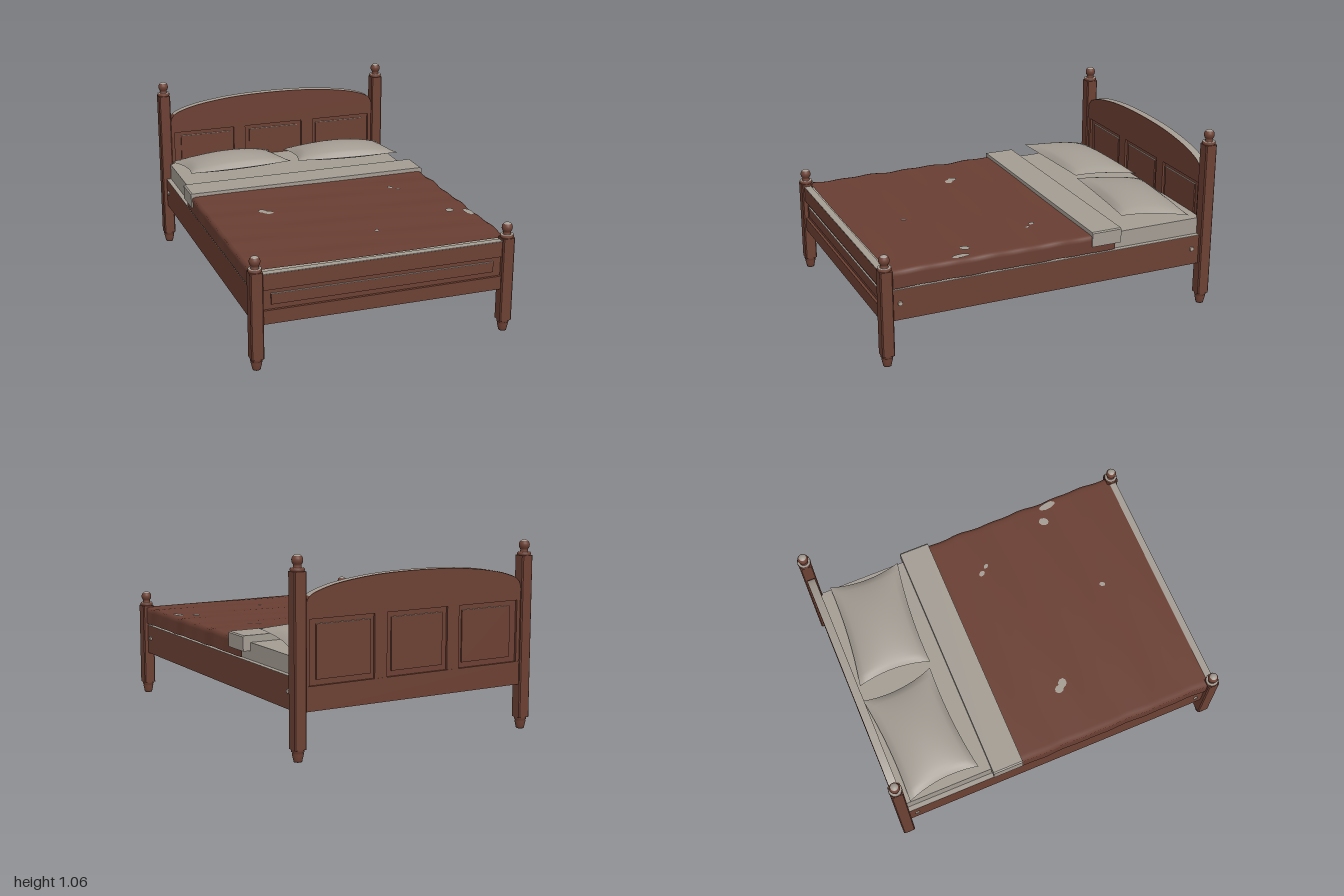
import * as THREE from 'three';

const mat = (name, color, side = THREE.FrontSide) => {
  const m = new THREE.MeshStandardMaterial({ color, side });
  m.name = name;
  return m;
};

export function createModel() {
  const bed = new THREE.Group();
  bed.name = 'bed';
  const wood = mat('redBrownWood', 0x6c4033);
  const blanketMat = mat('redBrownBlanket', 0x693e32, THREE.DoubleSide);
  const linen = mat('greyLinen', 0xa39c93, THREE.DoubleSide);
  const pale = mat('paleTopEdge', 0xa39c93, THREE.DoubleSide);
  const boltMat = mat('paleBolt', 0xb5a79a);
  const slatMat = mat('tanSlat', 0xa89a74);

  const add = (name, geo, material, parent = bed) => {
    const m = new THREE.Mesh(geo, material);
    m.name = name;
    parent.add(m);
    return m;
  };
  // Box given by its limits
  const box = (name, x0, x1, y0, y1, z0, z1, material = wood) => {
    const m = add(name, new THREE.BoxGeometry(x1 - x0, y1 - y0, z1 - z0), material);
    m.position.set((x0 + x1) / 2, (y0 + y1) / 2, (z0 + z1) / 2);
    return m;
  };
  // Raised panel with a pale upper edge
  const panel = (name, x0, x1, y0, y1, z0, z1) => {
    box(name, x0, x1, y0, y1, z0, z1);
    box(name + 'TopEdge', x0, x1, y1, y1 + 0.002, z0, z1, pale);
  };
  // Sheet mapped from u (towards +x) and v (towards +z), facing up
  const sheet = (nu, nv, fn) => {
    const g = new THREE.PlaneGeometry(1, 1, nu, nv);
    const p = g.attributes.position;
    for (let i = 0; i < p.count; i++) p.setXYZ(i, ...fn(p.getX(i) + 0.5, 0.5 - p.getY(i)));
    g.computeVertexNormals();
    return g;
  };
  const vectors = (pts) => pts.map(([x, y]) => new THREE.Vector2(x, y));
  const lathe = (pts) => new THREE.LatheGeometry(vectors(pts), 20);

  // Posts: chamfered shaft, tapered foot, ring and ball finial
  const h = 0.035, c = 0.029;
  const section = new THREE.Shape(vectors([[h, -c], [h, c], [c, h], [-c, h], [-h, c], [-h, -c], [-c, -h], [c, -h]]));
  const makePost = (name, x, z, top) => {
    const post = new THREE.Group();
    post.name = name;
    post.position.set(x, 0, z);
    bed.add(post);
    const shaft = new THREE.ExtrudeGeometry(section, { depth: top - 0.065, bevelEnabled: false });
    shaft.rotateX(-Math.PI / 2).translate(0, 0.065, 0);
    add('shaft', shaft, wood, post);
    add('foot', lathe([[0, 0], [0.022, 0], [0.024, 0.01], [0.031, 0.042], [0.027, 0.047], [0.034, 0.053], [0.034, 0.065]]), wood, post);
    const finial = [[0.034, 0], [0.038, 0.004], [0.038, 0.012], [0.034, 0.016], [0.023, 0.018], [0.02, 0.03]];
    for (let i = 3; i <= 9; i++) {
      const a = -Math.PI / 2 + i * 0.28;
      finial.push([0.03 * Math.cos(a), 0.056 + 0.03 * Math.sin(a)]);
    }
    add('finial', lathe(finial), wood, post).position.y = top;
    const cap = new THREE.SphereGeometry(0.0303, 20, 4, 0, Math.PI * 2, 0, 0.75);
    add('finialCap', cap, pale, post).position.y = top + 0.056;
    const ring = new THREE.RingGeometry(0.022, 0.036, 20).rotateX(-Math.PI / 2);
    add('ringTop', ring, pale, post).position.y = top + 0.0185;
  };
  for (const s of [-1, 1]) {
    const side = s > 0 ? 'left' : 'right';
    makePost(side + 'HeadPost', s * 0.711, -0.964, 0.97);
    makePost(side + 'FootPost', s * 0.711, 0.964, 0.549);

    // Side rails with bolt covers and slat ledges
    const rail = (name, a, b, y0, y1, m) =>
      box(name, Math.min(s * a, s * b), Math.max(s * a, s * b), y0, y1, -0.935, 0.935, m);
    rail(side + 'SideRail', 0.685, 0.72, 0.255, 0.428, wood);
    rail(side + 'RailTop', 0.685, 0.72, 0.428, 0.43, pale);
    rail(side + 'SlatLedge', 0.655, 0.685, 0.345, 0.375, slatMat);
    for (const z of [-0.885, 0.885]) {
      const bolt = add(side + 'BoltCover', new THREE.CylinderGeometry(0.012, 0.014, 0.008, 16), boltMat);
      bolt.rotation.z = -s * Math.PI / 2;
      bolt.position.set(s * 0.723, 0.35, z);
    }
  }

  // Headboard crest with arched top
  const crown = new THREE.SplineCurve(vectors(
    [[-0.675, 0.8], [-0.66, 0.836], [-0.61, 0.866], [-0.48, 0.9], [-0.26, 0.927], [0, 0.935],
      [0.26, 0.927], [0.48, 0.9], [0.61, 0.866], [0.66, 0.836], [0.675, 0.8]]));
  const crest = new THREE.Shape([new THREE.Vector2(0.68, 0.727), new THREE.Vector2(-0.68, 0.727), ...crown.getPoints(48)]);
  add('headboardCrest', new THREE.ExtrudeGeometry(crest, { depth: 0.046, bevelEnabled: false }).translate(0, 0, -0.987), wood);
  add('crestTopEdge', sheet(40, 1, (u, v) => {
    const p = crown.getPoint(0.12 + 0.76 * u);
    return [p.x, p.y + 0.002, -0.985 + 0.043 * v];
  }), pale);

  // Headboard frame and raised panels
  box('headboardBack', -0.68, 0.68, 0.255, 0.73, -0.971, -0.959);
  box('headboardBottomRail', -0.68, 0.68, 0.255, 0.385, -0.985, -0.944);
  for (const x of [-0.228, 0.228]) box('headboardStile', x - 0.038, x + 0.038, 0.385, 0.73, -0.984, -0.945);
  for (const x of [-0.667, 0.667]) box('headboardEndStile', x - 0.013, x + 0.013, 0.385, 0.73, -0.984, -0.945);
  for (const x of [-0.45, 0, 0.45]) panel('headboardPanel', x - 0.161, x + 0.161, 0.415, 0.698, -0.979, -0.951);

  // Footboard
  box('footboardBack', -0.68, 0.68, 0.255, 0.53, 0.958, 0.97);
  box('footboardBottomRail', -0.68, 0.68, 0.255, 0.332, 0.943, 0.985);
  box('footboardTopRail', -0.68, 0.68, 0.445, 0.532, 0.943, 0.985);
  box('footboardTopEdge', -0.676, 0.676, 0.532, 0.535, 0.944, 0.984, pale);
  panel('footboardPanel', -0.63, 0.63, 0.36, 0.418, 0.949, 0.979);

  // Slats
  for (let i = 0; i < 11; i++) {
    const z = -0.84 + i * 0.168;
    box('slat', -0.685, 0.685, 0.375, 0.415, z - 0.035, z + 0.035, slatMat);
  }

  // Mattress
  box('mattress', -0.692, 0.692, 0.416, 0.525, -0.95, 0.942, linen);

  // Blanket draped over both sides, gently rippled
  const hw = 0.726, drop = 0.1;
  add('blanket', sheet(70, 60, (u, v) => {
    const s = (u * 2 - 1) * (hw + drop);
    const z = -0.38 + 1.323 * v;
    const over = Math.max(0, Math.abs(s) - hw);
    const ripple = Math.sin(z * 17 + s * 3) + Math.sin(z * 31 - s * 5);
    const x = Math.sign(s) * (Math.min(Math.abs(s), hw) + 0.002 * ripple);
    return [x, 0.541 + 0.002 * ripple - over, z];
  }), blanketMat);

  // Pale irregular spots on the blanket: x, z, half width, half length, turn
  for (const [x, z, w, l, turn] of [[-0.412, 0.132, 0.024, 0.028, 0.4], [-0.385, 0.162, 0.025, 0.03, 1], [0.43, -0.005, 0.015, 0.02, 0.5],
    [0.465, 0.035, 0.011, 0.017, 0.6], [0.6, 0.47, 0.024, 0.03, -0.5], [0.69, 0.53, 0.022, 0.054, 0.1], [0.09, 0.63, 0.013, 0.018, -0.5]]) {
    const g = new THREE.CircleGeometry(1, 9).scale(w, l, 1).rotateX(-Math.PI / 2).rotateY(turn);
    add('blanketSpot', g, linen).position.set(x, 0.546, z);
  }

  // Folded sheet band wrapped over the blanket
  const band = new THREE.Shape(vectors(
    [[-0.735, 0.479], [-0.692, 0.479], [-0.692, 0.524], [0.692, 0.524], [0.692, 0.479], [0.735, 0.479],
      [0.735, 0.558], [0.727, 0.564], [-0.727, 0.564], [-0.735, 0.558]]));
  add('foldedSheet', new THREE.ExtrudeGeometry(band, { depth: 0.178, bevelEnabled: false }).translate(0, 0, -0.412), linen);

  // Pillows: corners in x, z order back right, back left, front right, front left
  const makePillow = (name, a, b, d, e) => {
    const pillow = new THREE.Group();
    pillow.name = name;
    bed.add(pillow);
    const face = (dir, height) => sheet(24, 20, (uu, v) => {
      const u = dir > 0 ? uu : 1 - uu;
      const s = u - 0.5, t = v - 0.5;
      const us = 0.5 + s * (1 - 0.1 * (1 - 4 * t * t));
      const vs = 0.5 + t * (1 - 0.08 * (1 - 4 * s * s));
      const mix = (k) => (a[k] * (1 - us) + b[k] * us) * (1 - vs) + (d[k] * (1 - us) + e[k] * us) * vs;
      const puff = Math.pow(Math.max(0, Math.sin(Math.PI * u) * Math.sin(Math.PI * v)), 0.5);
      const sag = 0.012 * v * (1 - 4 * s * s);
      return [mix(0), 0.55 + 0.055 * v - sag + dir * height * puff, mix(1)];
    });
    add('pillowTop', face(1, 0.074), linen, pillow);
    add('pillowBottom', face(-1, 0.022), linen, pillow);
  };
  makePillow('rightPillow', [-0.695, -0.905], [-0.04, -0.94], [-0.67, -0.48], [-0.02, -0.515]);
  makePillow('leftPillow', [0.05, -0.925], [0.695, -0.872], [0.015, -0.5], [0.665, -0.45]);

  return bed;
}
